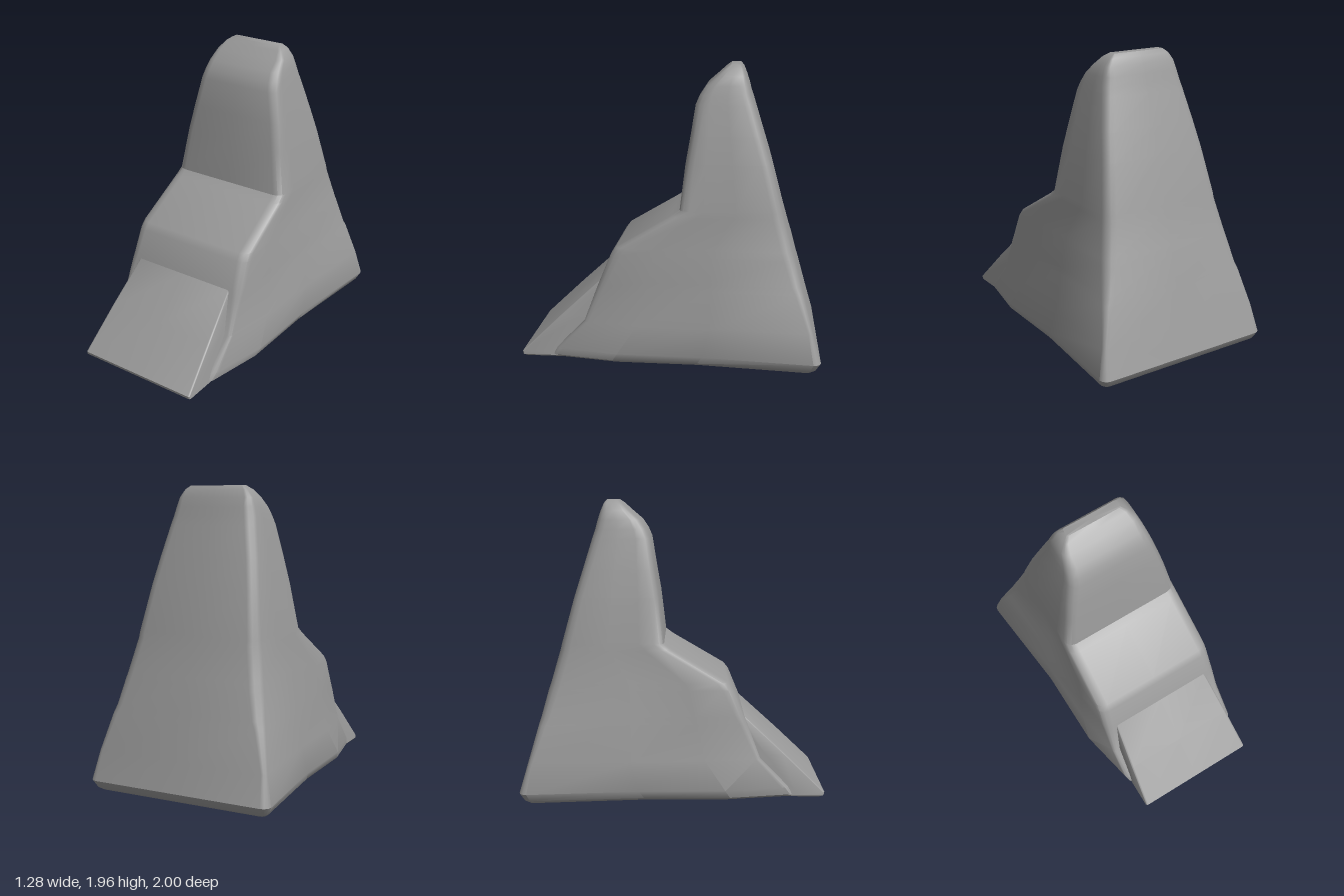
import * as THREE from 'three';
import { toCreasedNormals } from 'three/addons/utils/BufferGeometryUtils.js';

// Half outline of one level, from front centre round the +x side to back centre
function halfOutline({ zf, zb, wf, wm, wn, wb, rx, rz }) {
  const pts = [[0, zf]];
  const depth = zf - zb;
  for (let i = 0; i <= 3; i++) {
    const a = (i / 3) * Math.PI / 2;
    pts.push([wf - rx + rx * Math.sin(a), zf - rz + rz * Math.cos(a)]);
  }
  pts.push([wn, zf - depth * 0.24], [wm, zf - depth * 0.56]);
  for (let i = 0; i <= 3; i++) {
    const a = (i / 3) * Math.PI / 2;
    pts.push([wb - rx + rx * Math.cos(a), zb + rz - rz * Math.sin(a)]);
  }
  pts.push([0, zb]);
  return pts;
}

// Skin a stack of horizontal outlines and close both ends
function loft(levels) {
  const rings = levels.map((level) => {
    const half = halfOutline(level);
    const mirrored = half.slice(1, -1).reverse().map(([x, z]) => [-x, z]);
    return [...half, ...mirrored].map(([x, z]) => [x, level.y, z]);
  });
  const pos = [];
  const tri = (a, b, c) => pos.push(...a, ...b, ...c);
  const n = rings[0].length;
  const first = rings[0], last = rings[rings.length - 1];
  const centre = (l) => [0, l.y, (l.zf + l.zb) / 2];
  for (let j = 0; j < n; j++) {
    const k = (j + 1) % n;
    for (let i = 0; i + 1 < rings.length; i++) {
      const lo = rings[i], hi = rings[i + 1];
      tri(lo[j], lo[k], hi[k]);
      tri(lo[j], hi[k], hi[j]);
    }
    tri(centre(levels[0]), first[k], first[j]);
    tri(centre(levels[levels.length - 1]), last[j], last[k]);
  }
  const g = new THREE.BufferGeometry();
  g.setAttribute('position', new THREE.Float32BufferAttribute(pos, 3));
  return toCreasedNormals(g, 0.62);
}

export function createModel() {
  const group = new THREE.Group();
  const grey = new THREE.MeshStandardMaterial({ color: 0x9a9a9a });
  grey.name = 'plain grey';

  // Body levels: y, front z, back z, half widths (front, front side, mid side, back), corner radius
  const body = [
    [0, 0.75, -0.94, 0.43, 0.50, 0.51, 0.59, 0.03],
    [0.02, 0.79, -0.97, 0.455, 0.53, 0.54, 0.615, 0.04],
    [0.07, 0.76, -1.0, 0.47, 0.55, 0.56, 0.64, 0.05],
    [0.26, 0.57, -0.945, 0.465, 0.52, 0.54, 0.60, 0.03],
    [0.50, 0.48, -0.88, 0.46, 0.49, 0.505, 0.545, 0.05],
    [0.55, 0.46, -0.865, 0.46, 0.485, 0.495, 0.53, 0.06],
    [0.72, 0.39, -0.82, 0.455, 0.465, 0.475, 0.495, 0.07],
    [0.765, 0.355, -0.805, 0.45, 0.46, 0.465, 0.485, 0.07],
    [0.98, -0.01, -0.745, 0.44, 0.44, 0.44, 0.44, 0.07],
    [1.02, -0.065, -0.735, 0.435, 0.435, 0.435, 0.435, 0.065],
    [1.32, -0.10, -0.655, 0.385, 0.385, 0.385, 0.385, 0.06],
    [1.50, -0.13, -0.60, 0.352, 0.352, 0.352, 0.352, 0.06],
    [1.70, -0.16, -0.54, 0.31, 0.312, 0.312, 0.31, 0.06],
    [1.76, -0.185, -0.52, 0.297, 0.298, 0.298, 0.297, 0.06],
    [1.82, -0.225, -0.505, 0.282, 0.284, 0.284, 0.282, 0.055],
    [1.88, -0.295, -0.485, 0.263, 0.264, 0.264, 0.263, 0.04],
    [1.93, -0.35, -0.465, 0.225, 0.227, 0.227, 0.225, 0.02],
    [1.955, -0.385, -0.445, 0.19, 0.19, 0.19, 0.19, 0.01],
  ].map(([y, zf, zb, wf, wn, wm, wb, r]) => ({ y, zf, zb, wf, wn, wm, wb, rx: r, rz: r }));
  const bodyMesh = new THREE.Mesh(loft(body), grey);
  bodyMesh.name = 'body';

  // Sloping front ramp, its back end buried in the body
  const ramp = [
    [0, 0.975, 0.43],
    [0.01, 0.995, 0.44],
    [0.03, 1.0, 0.438],
    [0.28, 0.74, 0.41],
    [0.535, 0.465, 0.375],
  ].map(([y, zf, w]) => ({ y, zf, zb: 0.2, wf: w, wn: w, wm: w, wb: w, rx: 0.012, rz: 0.012 }));
  const rampMesh = new THREE.Mesh(loft(ramp), grey);
  rampMesh.name = 'frontRamp';

  group.add(bodyMesh, rampMesh);
  return group;
}
